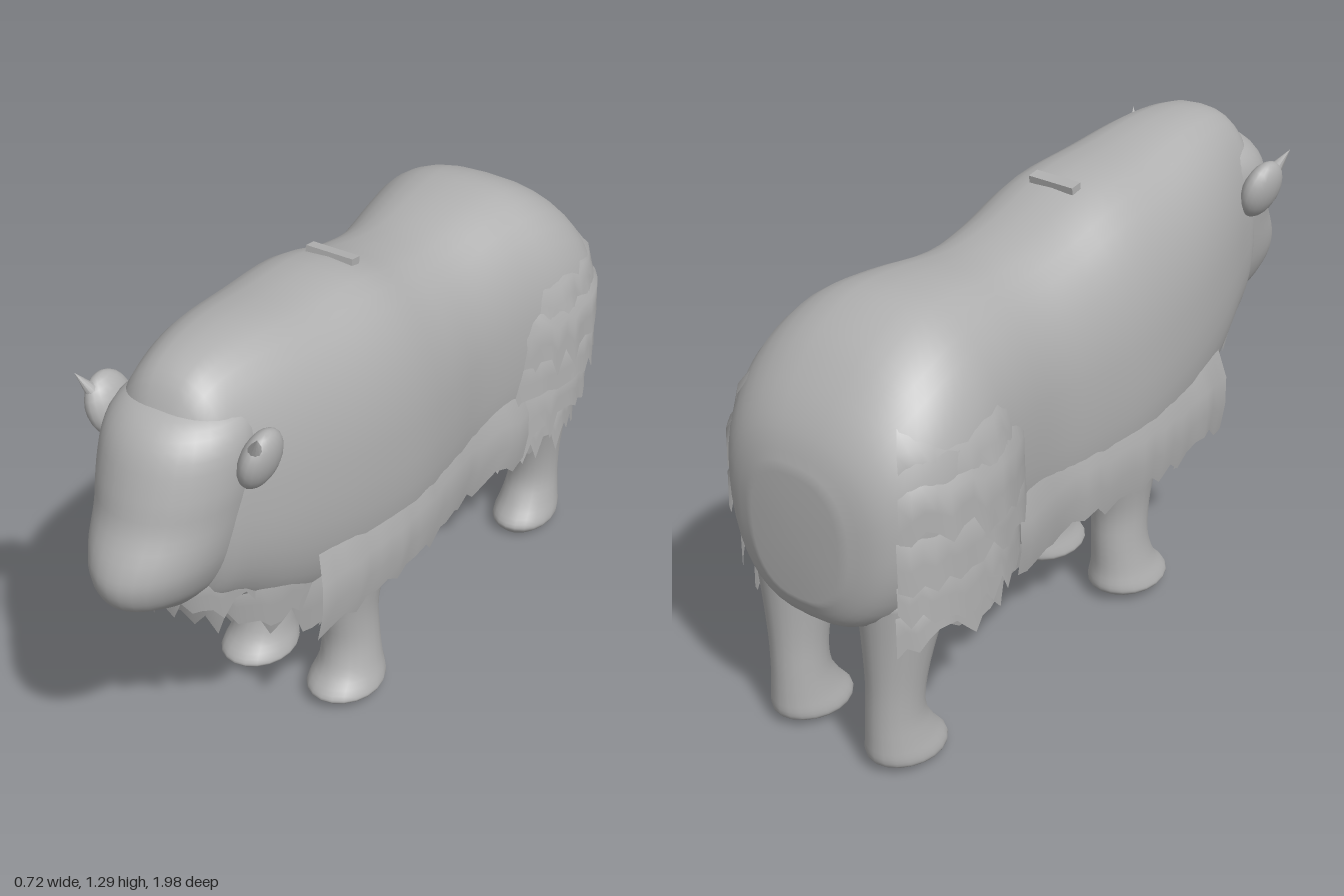
import * as THREE from 'three';

const coat = new THREE.MeshStandardMaterial({ color: 0xb0b0b0 });
coat.name = 'grey coat';
const fringe = new THREE.MeshStandardMaterial({ color: 0xb0b0b0, side: THREE.DoubleSide });
fringe.name = 'grey fringe';

// Small seeded generator for ragged fur edges
let seed = 7;
const rand = () => (seed = (seed * 16807) % 2147483647) / 2147483647;

function geometryFrom(points, index) {
  const g = new THREE.BufferGeometry();
  g.setAttribute('position', new THREE.Float32BufferAttribute(points.flat(), 3));
  g.setIndex(index);
  g.computeVertexNormals();
  return g;
}

// Skin closed rings of points and cap both ends
function loft(rings) {
  const n = rings[0].length, last = rings.length - 1, pts = rings.flat(), idx = [];
  for (let i = 0; i < last; i++) {
    for (let j = 0; j < n; j++) {
      const k = (j + 1) % n, a = i * n, b = a + n;
      idx.push(a + j, a + k, b + j, a + k, b + k, b + j);
    }
  }
  for (const end of [0, last]) {
    const c = [0, 1, 2].map(d => rings[end].reduce((s, p) => s + p[d], 0) / n);
    pts.push(c);
    for (let j = 0; j < n; j++) {
      const p = end * n + j, q = end * n + (j + 1) % n;
      idx.push(pts.length - 1, end ? p : q, end ? q : p);
    }
  }
  return geometryFrom(pts, idx);
}

// Smoothly resample a table of profile rows
function resample(rows, steps) {
  const main = new THREE.CatmullRomCurve3(rows.map(r => new THREE.Vector3(r[0], r[1], r[2])), false, 'catmullrom');
  const rest = new THREE.CatmullRomCurve3(rows.map(r => new THREE.Vector3(r[3], r[4] ?? 0, 0)), false, 'catmullrom');
  return Array.from({ length: steps + 1 }, (_, i) => {
    const a = main.getPoint(i / steps), b = rest.getPoint(i / steps);
    return [a.x, a.y, a.z, b.x, b.y];
  });
}

const signedPow = (v, p) => Math.sign(v) * Math.abs(v) ** p;
const around = (n, f) => Array.from({ length: n }, (_, j) => f(j / n * Math.PI * 2));

// Hanging sheet of fur with a torn lower edge; path(u, y) gives [x, z]
function curtain(path, yTop, yBottom, columns, rag = 0.06) {
  const pts = [], idx = [], rows = 3;
  for (let i = 0; i <= columns; i++) {
    const tip = yBottom + (rand() - 0.4) * rag * 1.6;
    const flare = 0.03 * rand();
    for (let r = 0; r <= rows; r++) {
      const y = THREE.MathUtils.lerp(yTop, tip, r / rows);
      const [x, z] = path(i / columns, y);
      pts.push([x * (r ? 1 + flare * r / rows : 0.93), y, z * (r ? 1 : 0.97)]);
      if (i && r) {
        const p = pts.length - 1, q = p - rows - 1;
        idx.push(q - 1, q, p - 1, q, p, p - 1);
      }
    }
  }
  return geometryFrom(pts, idx);
}

export function createModel() {
  const model = new THREE.Group();
  const add = (name, geometry, material = coat, parent = model) => {
    const mesh = new THREE.Mesh(geometry, material);
    mesh.name = name;
    parent.add(mesh);
    return mesh;
  };

  // Body: z, top, bottom, half width, height of widest point
  const body = resample([
    [0.80, 1.13, 0.72, 0.10, 0.92], [0.74, 1.23, 0.61, 0.17, 0.90],
    [0.65, 1.275, 0.56, 0.205, 0.87], [0.50, 1.285, 0.46, 0.25, 0.84],
    [0.30, 1.265, 0.38, 0.288, 0.80], [0.08, 1.25, 0.34, 0.303, 0.76],
    [-0.12, 1.19, 0.32, 0.288, 0.76], [-0.30, 1.165, 0.315, 0.275, 0.78],
    [-0.50, 1.185, 0.33, 0.305, 0.80], [-0.65, 1.182, 0.35, 0.335, 0.80],
    [-0.78, 1.125, 0.37, 0.335, 0.78], [-0.88, 1.035, 0.40, 0.30, 0.76],
    [-0.945, 0.94, 0.43, 0.24, 0.72], [-0.98, 0.84, 0.50, 0.14, 0.68],
  ], 52);
  add('body', loft(body.map(([z, top, bottom, w, mid]) => around(40, a => {
    const s = Math.sin(a), c = Math.cos(a);
    return c > 0
      ? [w * signedPow(s, 0.8), mid + (top - mid) * c ** 0.85, z]
      : [w * signedPow(s, 0.75), mid - (mid - bottom) * (-c) ** 0.9, z];
  }))));
  const widthAt = z => body.find(row => row[0] <= z)[3];

  // Head: y, front z, back z, half width
  const head = resample([
    [1.19, 0.72, 0.55, 0.08], [1.16, 0.81, 0.50, 0.15], [1.10, 0.87, 0.50, 0.185],
    [1.00, 0.912, 0.50, 0.19], [0.92, 0.938, 0.50, 0.182], [0.84, 0.985, 0.50, 0.17],
    [0.78, 1.00, 0.50, 0.155], [0.72, 0.975, 0.50, 0.13], [0.67, 0.90, 0.50, 0.10], [0.625, 0.82, 0.52, 0.07],
  ], 30);
  add('head', loft(head.map(([y, f, b, w]) => around(32, a =>
    [w * Math.cos(a), y, (f + b) / 2 + (f - b) / 2 * Math.sin(a)]))));

  // Legs: y, centre z, depth radius, width radius, centre x
  const legTables = {
    front: [
      [0.56, 0.14, 0.13, 0.10, 0.15], [0.40, 0.155, 0.115, 0.088, 0.14], [0.28, 0.16, 0.092, 0.076, 0.135],
      [0.18, 0.155, 0.088, 0.075, 0.138], [0.10, 0.165, 0.10, 0.083, 0.143], [0.05, 0.183, 0.126, 0.098, 0.144],
      [0.03, 0.188, 0.122, 0.10, 0.144], [0.015, 0.18, 0.09, 0.08, 0.144],
    ],
    hind: [
      [0.54, -0.77, 0.15, 0.12, 0.17], [0.40, -0.80, 0.11, 0.095, 0.168], [0.26, -0.82, 0.085, 0.075, 0.165],
      [0.16, -0.825, 0.082, 0.072, 0.162], [0.09, -0.81, 0.10, 0.08, 0.162], [0.04, -0.79, 0.12, 0.09, 0.162],
      [0.018, -0.78, 0.108, 0.086, 0.162], [0.0, -0.76, 0.07, 0.06, 0.162],
    ],
  };
  for (const side of [1, -1]) {
    const label = side > 0 ? 'left' : 'right';
    for (const [kind, table] of Object.entries(legTables)) {
      add(`${label} ${kind} leg`, loft(resample(table, 24).map(([y, z, rz, rx, x]) => around(20, a =>
        [side * x + rx * Math.cos(a), y, z + rz * Math.sin(a)]))));
    }

    // Ears: folded cup with a pointed tip
    const ear = new THREE.Group();
    ear.name = `${label} ear`;
    ear.position.set(side * 0.222, 1.065, 0.68);
    ear.rotation.set(0.15, 0, -side * 0.28);
    model.add(ear);
    add('ear cup', new THREE.SphereGeometry(1, 18, 12).scale(0.042, 0.085, 0.075), coat, ear);
    const tip = add('ear tip', new THREE.ConeGeometry(0.028, 0.1, 10), coat, ear);
    tip.position.set(side * 0.003, 0.075, 0.04);
    tip.rotation.set(0.3, 0, -side * 0.15);

    // Flank and belly fringes follow the width of the body
    for (const [yTop, yBottom, inset, z0, z1] of [
      [0.66, 0.42, 0, 0.48, -0.5], [0.50, 0.37, 0.06, 0.40, -0.85], [0.42, 0.335, 0.14, 0.15, -0.6],
    ]) {
      add(`${label} belly fringe`, curtain((u, y) => {
        const z = THREE.MathUtils.lerp(z0, z1, u);
        return [side * (widthAt(z) - inset - Math.max(0, 0.5 - y) * 0.2), z];
      }, yTop, yBottom, 22, 0.035), fringe);
    }
  }

  // Overlapping rump fur wrapped round the hindquarters: top, bottom, half width, depth
  const rump = [[0.99, 0.82, 0.34, 0.285], [0.90, 0.70, 0.352, 0.305], [0.78, 0.6, 0.348, 0.315],
    [0.66, 0.47, 0.328, 0.30], [0.54, 0.39, 0.30, 0.275]];
  rump.forEach(([yTop, yBottom, w, depth], i) => add('rump fur', curtain((u, y) => {
    const a = Math.PI * (-0.28 + 1.56 * u), taper = 1 - Math.max(0, y - 0.85) * 0.5;
    return [w * taper * signedPow(Math.cos(a), 0.55), -0.68 + depth * taper * Math.sin(a)];
  }, yTop, yBottom, 40 + i, 0.05), fringe));

  // Beard and chest fur: top, bottom, half width, centre z, depth
  for (const [yTop, yBottom, w, z0, depth] of [
    [0.76, 0.59, 0.18, 0.50, 0.33], [0.68, 0.50, 0.22, 0.40, 0.31], [0.60, 0.40, 0.265, 0.28, 0.27],
  ]) {
    add('chest fur', curtain((u, y) => {
      const a = Math.PI * u, k = 1 - (yTop - y) * 0.6;
      return [w * k * signedPow(Math.cos(a), 0.8), z0 + depth * k * Math.sin(a)];
    }, yTop, yBottom, 24, 0.07), fringe);
  }

  // Small raised tuft behind the shoulder hump
  const tuft = add('back tuft', new THREE.BoxGeometry(0.14, 0.02, 0.035));
  tuft.position.set(0, 1.243, 0.035);
  tuft.rotation.x = -0.15;
  return model;
}
